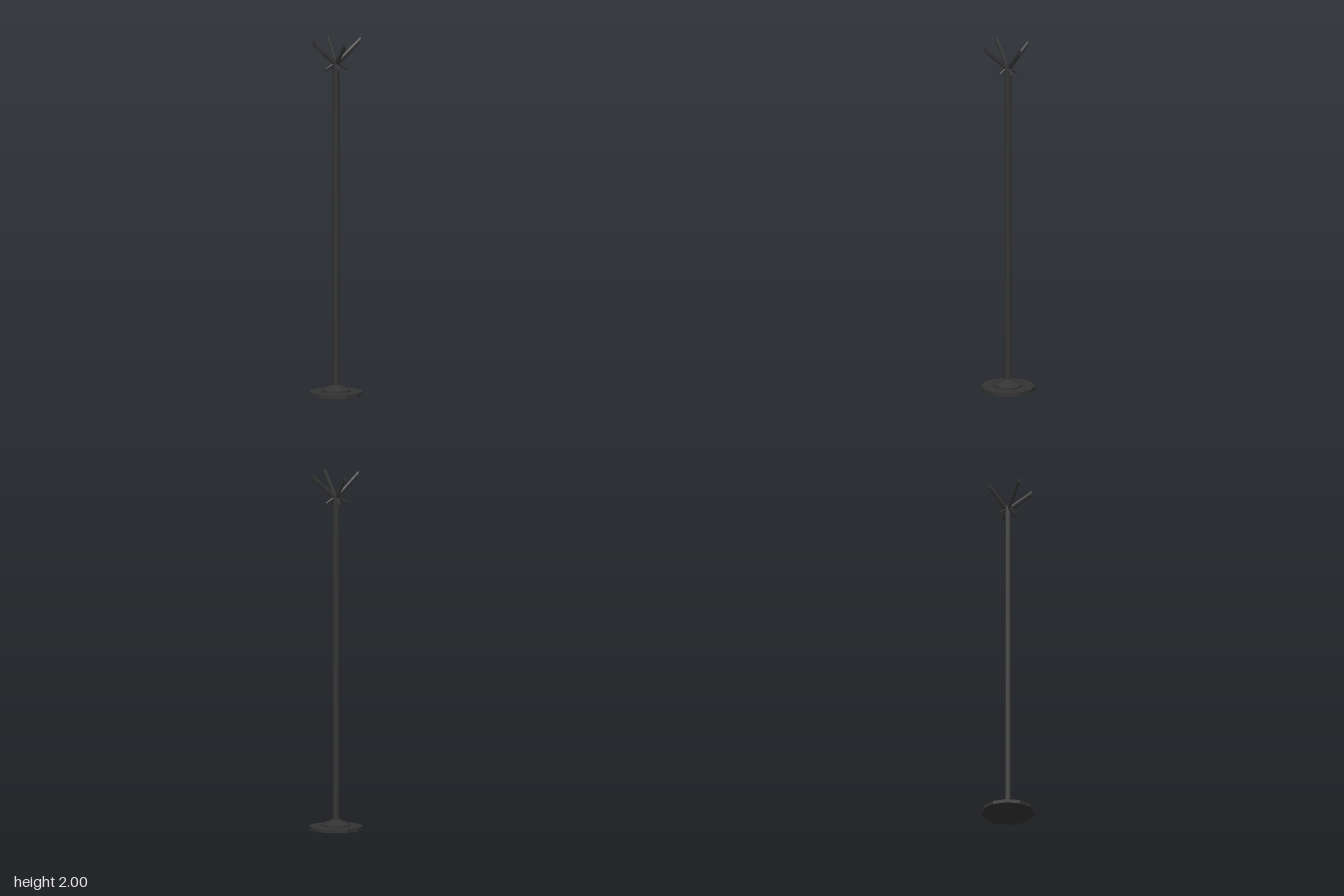
import * as THREE from 'three';

const material = new THREE.MeshStandardMaterial({ color: 0x333333, flatShading: true });

function addMesh(parent, name, geometry) {
  const mesh = new THREE.Mesh(geometry, material);
  mesh.name = name;
  parent.add(mesh);
  return mesh;
}

// Slanted bar with upright end faces: runs along +x from x0 to x1 while y goes y0 to y1
function slantedBar(x0, x1, y0, y1, width, height) {
  const geometry = new THREE.CylinderGeometry(0.5, 0.5, 1, 8);
  geometry.rotateY(Math.PI / 8).rotateZ(-Math.PI / 2);
  const grow = 1 / Math.cos(Math.PI / 8);
  const p = geometry.attributes.position;
  for (let i = 0; i < p.count; i++) {
    const t = p.getX(i) + 0.5;
    p.setXYZ(i, x0 + (x1 - x0) * t, y0 + (y1 - y0) * t + p.getY(i) * height * grow, p.getZ(i) * width * grow);
  }
  geometry.computeVertexNormals();
  return geometry;
}

export function createModel() {
  const model = new THREE.Group();
  model.name = 'coatStand';

  // Base plate and its raised conical collar
  addMesh(model, 'basePlate', new THREE.CylinderGeometry(0.149, 0.149, 0.02, 12)).position.y = 0.01;
  const collar = [[0.08, 0.018], [0.08, 0.03], [0.02, 0.058], [0, 0.058]];
  addMesh(model, 'baseCollar', new THREE.LatheGeometry(collar.map(([x, y]) => new THREE.Vector2(x, y)), 12));

  // Pole
  const top = 1.872, bottom = 0.02;
  const pole = addMesh(model, 'pole', new THREE.CylinderGeometry(0.019, 0.019, top - bottom, 12));
  pole.position.y = (top + bottom) / 2;

  // Four long upper hooks and four short lower pegs; reach differs a little per side
  const hookReach = [0.144, 0.121, 0.135, 0.144]; // +x, -z, -x, +z
  const pegReach = [0.062, 0.052, 0.065, 0.052];
  for (let i = 0; i < 4; i++) {
    const arm = new THREE.Group();
    arm.name = 'hookPair' + (i + 1);
    arm.rotation.y = i * Math.PI / 2;
    addMesh(arm, 'upperHook', slantedBar(0.01, hookReach[i], 1.862, 1.982, 0.017, 0.034));
    addMesh(arm, 'lowerPeg', slantedBar(0.005, pegReach[i], 1.861, 1.825, 0.014, 0.016));
    model.add(arm);
  }
  return model;
}
